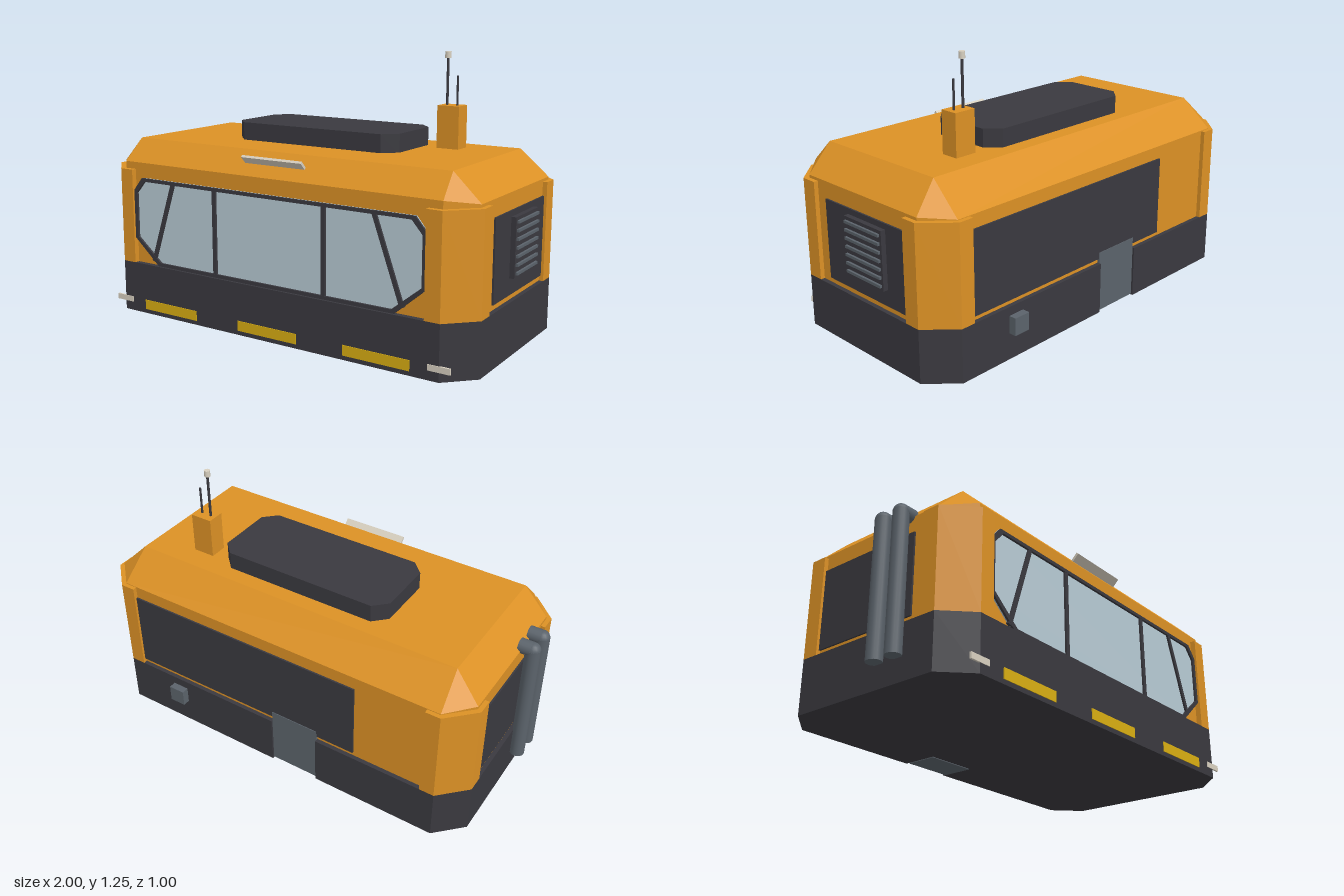
import * as THREE from 'three';

const mat = (name, color) => {
  const m = new THREE.MeshStandardMaterial({ color });
  m.name = name;
  return m;
};

export function createModel() {
  const model = new THREE.Group();
  model.name = 'cabin';
  const orange = mat('orange paint', 0xdc9125);
  const dark = mat('charcoal', 0x3a393f);
  const glass = mat('window glass', 0xb8cbd5);
  const grey = mat('steel grey', 0x5b636b);
  const yellow = mat('yellow marking', 0xd9ae12);
  const cream = mat('lamp cream', 0xd8d0c0);

  const add = (name, geometry, material) => {
    const mesh = new THREE.Mesh(geometry, material);
    mesh.name = name;
    model.add(mesh);
    return mesh;
  };
  // Box given by its limits on each axis
  const box = (name, material, x0, x1, y0, y1, z0, z1) => {
    const mesh = add(name, new THREE.BoxGeometry(x1 - x0, y1 - y0, z1 - z0), material);
    mesh.position.set((x0 + x1) / 2, (y0 + y1) / 2, (z0 + z1) / 2);
    return mesh;
  };
  const rod = (name, material, r, x, y0, y1, z, sides = 16) => {
    const mesh = add(name, new THREE.CylinderGeometry(r, r, y1 - y0, sides), material);
    mesh.position.set(x, (y0 + y1) / 2, z);
    return mesh;
  };
  const shapeOf = (pts) => new THREE.Shape(pts.map(([x, y]) => new THREE.Vector2(x, y)));
  // Plan outline of [x, z] points raised from y0 to y1
  const prism = (name, material, pts, y0, y1) => {
    const g = new THREE.ExtrudeGeometry(shapeOf(pts.map(([x, z]) => [x, -z])),
      { depth: y1 - y0, bevelEnabled: false });
    g.rotateX(-Math.PI / 2);
    g.translate(0, y0, 0);
    return add(name, g, material);
  };
  // Rectangle with chamfered corners, anticlockwise from above
  const octagon = (x0, x1, z0, z1, c) => [
    [x1, z1 - c], [x1, z0 + c], [x1 - c, z0], [x0 + c, z0],
    [x0, z0 + c], [x0, z1 - c], [x0 + c, z1], [x1 - c, z1],
  ];

  // Base with a doorway notch in the back
  const base = octagon(-0.94, 0.98, -0.465, 0.5, 0.12);
  base.splice(3, 0, [0.02, -0.465], [0.02, -0.447], [-0.22, -0.447], [-0.22, -0.465]);
  prism('base', dark, base, 0, 0.24);

  // Body walls and sloping roof, lofted through three rings
  const plan = octagon(-0.92, 0.96, -0.445, 0.475, 0.11);
  const eaves = [0.70, 0.70, 0.69, 0.69, 0.70, 0.70, 0.72, 0.72];
  const roof = [[0.84, 0.375], [0.84, -0.3], [-0.8, -0.3], [-0.8, 0.375]];
  const corner = [0, 1, 1, 2, 2, 3, 3, 0];
  const rings = [
    plan.map(([x, z]) => [x, 0.23, z]),
    plan.map(([x, z], i) => [x, eaves[i], z]),
    corner.map((k) => [roof[k][0], 0.82, roof[k][1]]),
  ];
  const verts = [];
  for (let r = 0; r < 2; r++) {
    for (let i = 0; i < 8; i++) {
      const j = (i + 1) % 8;
      const [a, b, c, d] = [rings[r][i], rings[r][j], rings[r + 1][j], rings[r + 1][i]];
      verts.push(...a, ...b, ...c);
      if (r === 0 || corner[i] !== corner[j]) verts.push(...a, ...c, ...d);
    }
  }
  const top = [0, 1, 3, 5].map((i) => rings[2][i]);
  verts.push(...top[0], ...top[1], ...top[2], ...top[0], ...top[2], ...top[3]);
  const bodyGeo = new THREE.BufferGeometry();
  bodyGeo.setAttribute('position', new THREE.Float32BufferAttribute(verts, 3));
  bodyGeo.computeVertexNormals();
  add('body', bodyGeo, orange);

  // Four wrapped corner posts, mirrored about the plan centre
  const post = [[0.77, 0.4825], [0.84, 0.4825], [0.96, 0.3625], [0.96, 0.2875],
    [0.93, 0.2875], [0.93, 0.34], [0.82, 0.45], [0.77, 0.45]];
  for (const sx of [-1, 1]) {
    for (const sz of [-1, 1]) {
      prism('cornerPost', orange, post.map(([x, z]) => [0.02 + sx * x, 0.0175 + sz * z]), 0.24, 0.687);
    }
  }

  // Front window: glass, frame and mullions
  const outline = [[-0.75, 0.36], [-0.61, 0.24], [0.65, 0.24], [0.79, 0.36],
    [0.79, 0.59], [0.74, 0.65], [-0.70, 0.65], [-0.75, 0.59]];
  const inner = outline.map(([x, y]) => [0.02 + (x - 0.02) * 0.977, 0.445 + (y - 0.445) * 0.925]);
  const pane = new THREE.ExtrudeGeometry(shapeOf(outline), { depth: 0.006, bevelEnabled: false });
  add('windowGlass', pane, glass).position.z = 0.474;
  const frameShape = shapeOf(outline);
  frameShape.holes.push(shapeOf(inner));
  const frame = new THREE.ExtrudeGeometry(frameShape, { depth: 0.016, bevelEnabled: false });
  add('windowFrame', frame, dark).position.z = 0.474;
  for (const [xt, xb, yb] of [[-0.51, -0.64, 0.26], [-0.27, -0.27, 0.245], [0.31, 0.31, 0.245], [0.55, 0.685, 0.27]]) {
    const h = 0.645 - yb;
    const bar = add('windowMullion', new THREE.BoxGeometry(0.02, Math.hypot(xt - xb, h), 0.014), dark);
    bar.position.set((xt + xb) / 2, (0.645 + yb) / 2, 0.482);
    bar.rotation.z = Math.atan2(xb - xt, h);
  }

  // Dark panels on the sides and back
  box('leftPanel', dark, 0.95, 0.968, 0.265, 0.625, -0.275, 0.245);
  box('rightPanel', dark, -0.928, -0.91, 0.265, 0.625, -0.275, 0.245);
  box('backPanel', dark, -0.41, 0.79, 0.26, 0.63, -0.453, -0.44);

  // Slatted vent on the left side
  box('ventHousing', dark, 0.95, 0.99, 0.34, 0.6, -0.15, 0.09);
  for (let i = 0; i < 7; i++) {
    const y = 0.36 + i * 0.0365;
    box('ventSlat', grey, 0.985, 1, y - 0.006, y + 0.006, -0.14, 0.08);
  }

  // Twin exhaust pipes with elbows into the right wall
  for (const z of [0.105, 0.205]) {
    rod('exhaustPipe', grey, 0.034, -0.966, 0.1, 0.715, z);
    const elbow = rod('exhaustElbow', grey, 0.034, -0.935, 0.68, 0.74, z);
    elbow.position.y = 0.71;
    elbow.rotation.z = Math.PI / 2;
    const bend = add('exhaustBend', new THREE.SphereGeometry(0.034, 16, 10), grey);
    bend.position.set(-0.966, 0.71, z);
  }

  // Back door, step and service box
  box('door', grey, -0.22, 0.02, 0.005, 0.29, -0.456, -0.44);
  box('doorStep', grey, -0.22, 0.02, -0.003, 0.003, -0.447, -0.3);
  box('serviceBox', grey, 0.52, 0.6, 0.12, 0.2, -0.5, -0.46);

  // Roof unit and aerials
  prism('roofUnit', dark, octagon(-0.41, 0.45, -0.225, 0.16, 0.06), 0.81, 0.902);
  box('aerialBase', orange, 0.52, 0.625, 0.8, 1.01, -0.193, -0.11);
  rod('tallAerial', dark, 0.006, 0.547, 1, 1.22, -0.153, 8);
  rod('aerialTip', cream, 0.014, 0.547, 1.215, 1.245, -0.153, 12);
  rod('shortAerial', dark, 0.005, 0.596, 1, 1.14, -0.153, 8);

  // Light bar standing out of the front slope
  const lightBar = add('lightBar', new THREE.BoxGeometry(0.315, 0.012, 0.05), cream);
  lightBar.position.set(0.022, 0.783, 0.436);
  lightBar.rotation.x = -Math.PI / 4;

  // Yellow front markings and corner lamps
  for (const x of [-0.69, -0.135, 0.415]) {
    box('frontMarking', yellow, x, x + 0.315, 0.02, 0.066, 0.498, 0.503);
  }
  for (const x of [-0.87, 0.81]) box('cornerLamp', cream, x, x + 0.1, 0.042, 0.068, 0.494, 0.503);

  return model;
}
